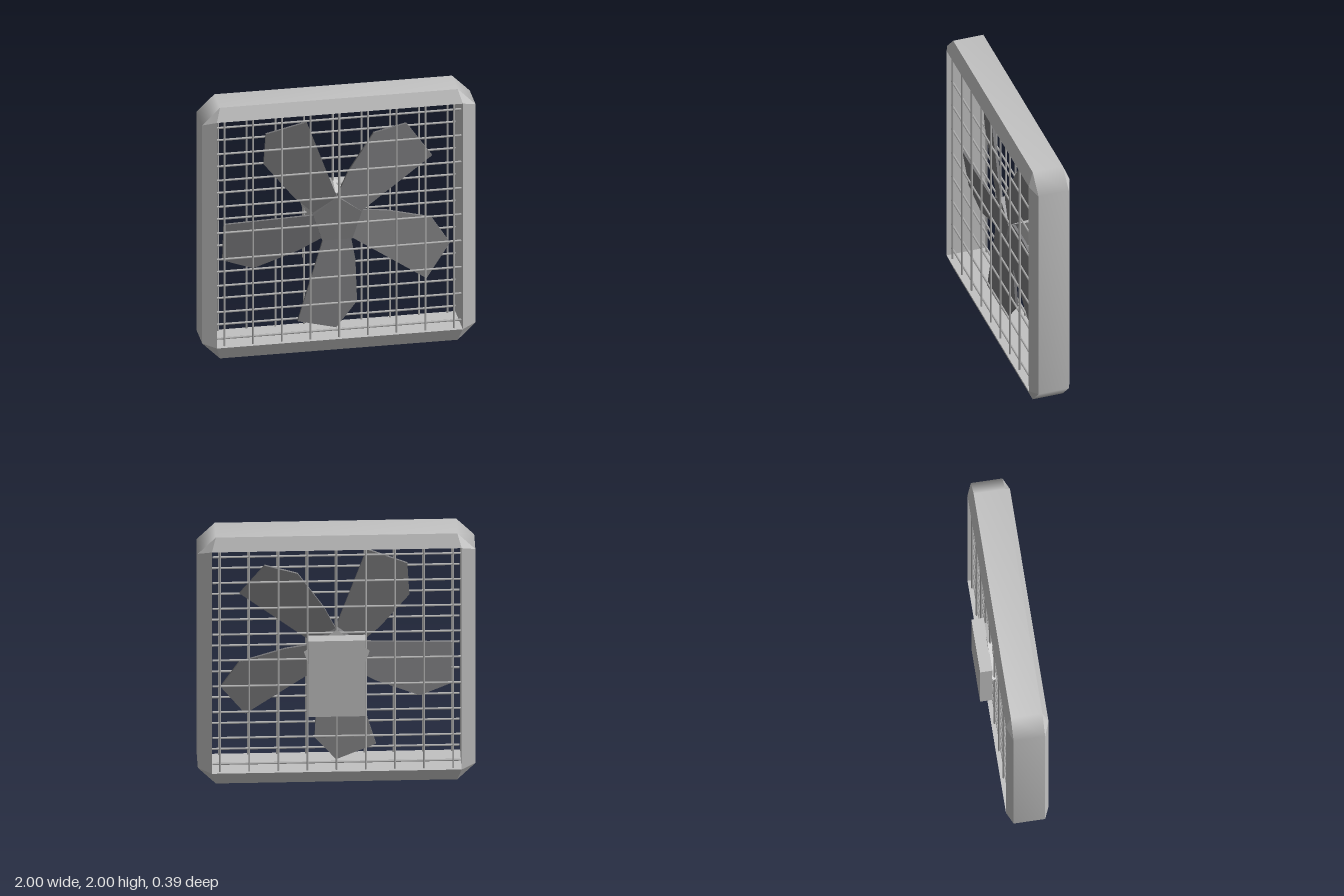
import * as THREE from 'three';
import { mergeGeometries } from 'three/addons/utils/BufferGeometryUtils.js';

const shell = new THREE.MeshStandardMaterial({ name: 'casing grey', color: 0xc2c2c2 });
const wire = new THREE.MeshStandardMaterial({ name: 'wire grey', color: 0xb4b4b4 });
const dark = new THREE.MeshStandardMaterial({ name: 'blade grey', color: 0x7c7c7e });

function part(parent, name, geometry, material) {
  const mesh = new THREE.Mesh(geometry, material);
  mesh.name = name;
  parent.add(mesh);
  return mesh;
}

function flat(geometry) {
  const g = geometry.index ? geometry.toNonIndexed() : geometry;
  g.computeVertexNormals();
  return g;
}

// Closed strip between two rings of points; ring a lies ahead of ring b
function strip(a, b, smooth) {
  const n = a.length, index = [];
  for (let i = 0; i < n; i++) {
    const j = (i + 1) % n;
    index.push(b[i], b[j], a[j], b[i], a[j], a[i]);
  }
  const all = [...a, ...b];
  const geometry = new THREE.BufferGeometry().setFromPoints(all);
  geometry.setIndex(index.map((p) => all.indexOf(p)));
  if (!smooth) return flat(geometry);
  geometry.computeVertexNormals();
  return geometry.toNonIndexed();
}

// Octagonal casing with bevels running in to a square opening
function casingGeometry() {
  const outer = [], inner = [];
  const c = 0.87;
  [[1, c], [c, 1], [-c, 1], [-1, c], [-1, -c], [-c, -1], [c, -1], [1, -c]].forEach(([x, y]) => {
    outer.push([x, y]);
    inner.push([Math.sign(x) * 0.9, Math.sign(y) * 0.9]);
  });
  const ring = (points, z) => points.map(([x, y]) => new THREE.Vector3(x, y, z));
  const outerFront = ring(outer, 0.155), outerBack = ring(outer, -0.075);
  const innerFront = ring(inner, 0.195), innerBack = ring(inner, -0.115);
  return mergeGeometries([
    strip(outerFront, outerBack, true),
    strip(innerFront, outerFront),
    strip(outerBack, innerBack),
    strip(innerBack, innerFront),
  ]);
}

// Crossed wires filling the opening
function addGrille(parent, name, z, step) {
  const grille = new THREE.Group();
  grille.name = name;
  const rod = new THREE.CylinderGeometry(0.008, 0.008, 1.79, 6);
  for (let i = -4; i <= 4; i++) {
    part(grille, 'verticalWire', rod, wire).position.set(i * 0.21, 0, z);
    const across = part(grille, 'horizontalWire', rod, wire);
    across.rotation.z = Math.PI / 2;
    across.position.set(0, i * 0.21, z + step);
  }
  parent.add(grille);
}

// Pitched blade hanging down from the hub, straight on its leading edge
function bladeGeometry() {
  const shape = new THREE.Shape([
    [-0.1, -0.13], [-0.29, -0.78], [0, -0.875], [0.155, -0.685], [0.14, -0.34], [0.1, -0.13],
  ].map(([x, y]) => new THREE.Vector2(x, y)));
  const geometry = new THREE.ExtrudeGeometry(shape, { depth: 0.02, bevelEnabled: false });
  const p = geometry.attributes.position;
  for (let i = 0; i < p.count; i++) {
    const fromEdge = p.getX(i) + 0.1 - (p.getY(i) + 0.13) * 0.292;
    p.setZ(i, p.getZ(i) + 0.078 - 0.15 * fromEdge);
  }
  return flat(geometry);
}

// Five-sided prism or frustum along z with a corner at the top
function pentagon(frontRadius, backRadius, front, back) {
  const g = new THREE.CylinderGeometry(frontRadius, backRadius, front - back, 5);
  g.rotateX(Math.PI / 2).rotateZ(Math.PI).translate(0, 0, (front + back) / 2);
  return flat(g);
}

export function createModel() {
  const model = new THREE.Group();
  model.name = 'boxFan';
  const fan = new THREE.Group();
  fan.name = 'fanBody';
  fan.position.y = 1;
  model.add(fan);

  part(fan, 'casing', casingGeometry(), shell);
  addGrille(fan, 'frontGrille', 0.17, -0.014);
  addGrille(fan, 'backGrille', -0.09, 0.014);

  // Rotor
  const rotor = new THREE.Group();
  rotor.name = 'rotor';
  fan.add(rotor);
  part(rotor, 'hub', pentagon(0.187, 0.187, 0.1, 0.02), dark);
  const blade = bladeGeometry();
  for (let i = 0; i < 5; i++) {
    part(rotor, 'blade', blade, dark).rotation.z = (i * Math.PI * 2) / 5;
  }

  // Motor mount and the open-fronted motor housing
  part(fan, 'motorMount', pentagon(0.18, 0.25, 0.02, -0.11), shell);
  const housing = new THREE.BoxGeometry(0.41, 0.615, 0.09);
  const faces = Array.from(housing.index.array);
  faces.splice(24, 6);
  housing.setIndex(faces);
  housing.clearGroups();
  part(fan, 'motorHousing', housing, shell).position.set(0, -0.103, -0.15);

  return model;
}
